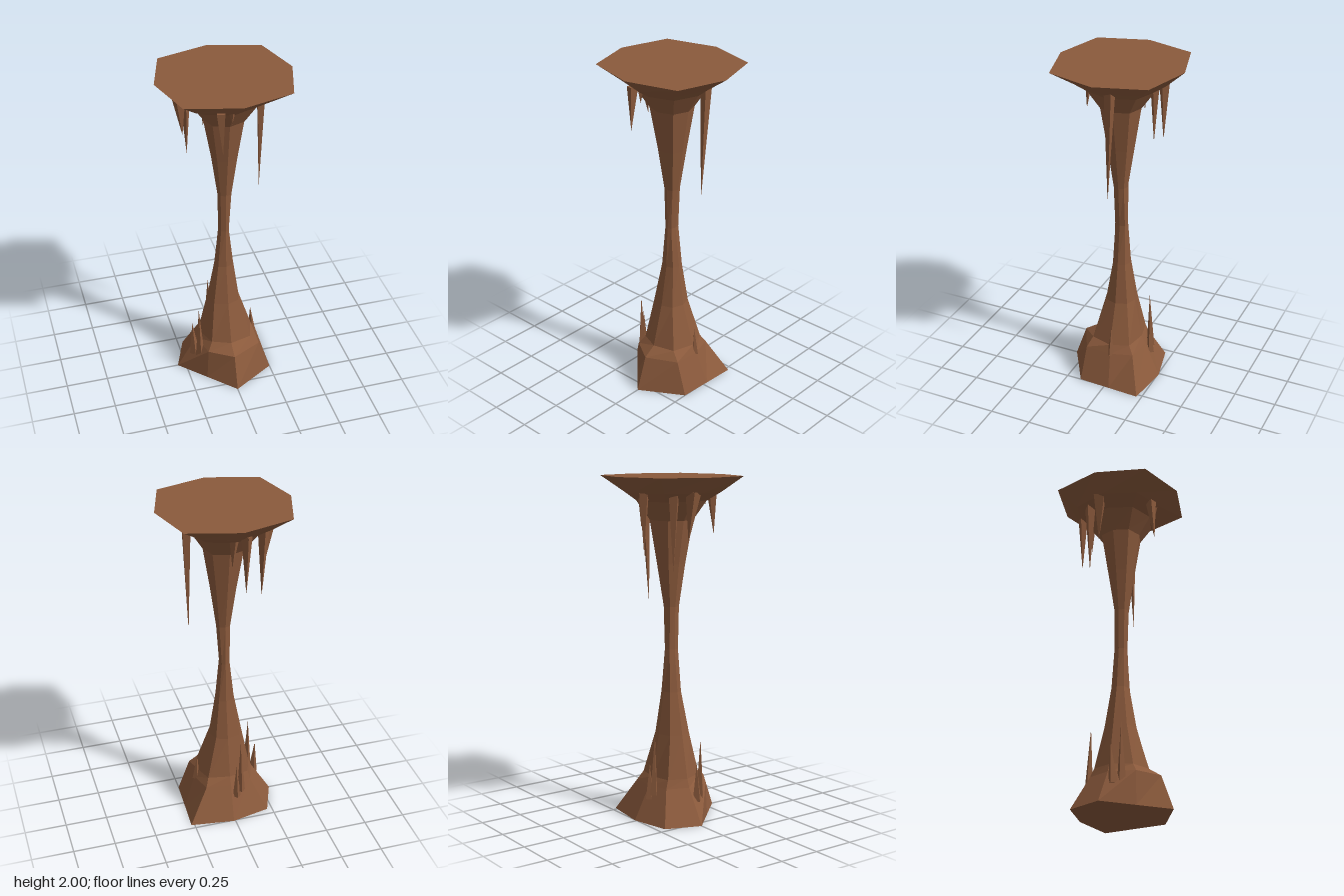
import * as THREE from 'three';

const SIDES = 8;

// Eight [x, z] corners from four radii; d scales the diagonal corners
function ring(y, xp, xn, zp, zn, d = 0.74) {
  return { y, pts: [
    [xp, 0], [xp * d, zp * d], [0, zp], [-xn * d, zp * d],
    [-xn, 0], [-xn * d, -zn * d], [0, -zn], [xp * d, -zn * d],
  ] };
}

// Skin a stack of rings and close both ends
function loft(rings) {
  const pos = [], index = [];
  rings.forEach(r => r.pts.forEach(([x, z]) => pos.push(x, r.y, z)));
  for (let i = 0; i < rings.length - 1; i++) {
    for (let k = 0; k < SIDES; k++) {
      const n = (k + 1) % SIDES;
      const a = i * SIDES + k, b = i * SIDES + n;
      const c = b + SIDES, d = a + SIDES;
      index.push(a, d, b, b, d, c);
    }
  }
  const last = (rings.length - 1) * SIDES;
  for (let k = 1; k < SIDES - 1; k++) {
    index.push(0, k, k + 1);
    index.push(last, last + k + 1, last + k);
  }
  const g = new THREE.BufferGeometry();
  g.setAttribute('position', new THREE.Float32BufferAttribute(pos, 3));
  g.setIndex(index);
  const flat = g.toNonIndexed();
  flat.computeVertexNormals();
  return flat;
}

export function createModel() {
  const model = new THREE.Group();
  const rock = new THREE.MeshStandardMaterial({ color: 0x8b5a3c, flatShading: true });
  rock.name = 'brown rock';

  // Column: wide foot with a ledge at the front, narrow waist, flared top
  const column = new THREE.Mesh(loft([
    { y: 0, pts: [[0.26, -0.03], [0.25, 0.16], [0, 0.31], [-0.15, 0.155],
      [-0.3, 0], [-0.22, -0.205], [0.01, -0.256], [0.27, -0.22]] },
    { y: 0.2, pts: [[0.19, -0.01], [0.18, 0.15], [0, 0.24], [-0.14, 0.15],
      [-0.18, 0], [-0.13, -0.13], [0, -0.16], [0.15, -0.14]] },
    { y: 0.25, pts: [[0.17, 0], [0.13, 0.13], [0, 0.165], [-0.11, 0.12],
      [-0.16, 0], [-0.12, -0.11], [0, -0.135], [0.13, -0.11]] },
    ring(0.5, 0.09, 0.11, 0.095, 0.09),
    ring(0.75, 0.055, 0.062, 0.05, 0.055),
    ring(1, 0.027, 0.035, 0.04, 0.042),
    ring(1.25, 0.045, 0.04, 0.045, 0.04),
    ring(1.5, 0.08, 0.075, 0.08, 0.08),
    ring(1.75, 0.12, 0.12, 0.12, 0.12),
    ring(1.86, 0.19, 0.2, 0.19, 0.2),
    ring(1.91, 0.255, 0.285, 0.265, 0.27),
    ring(2, 0.385, 0.385, 0.37, 0.37, 0.777),
  ]), rock);
  column.name = 'column';
  model.add(column);

  // Four-sided spike from a base point to a tip
  const up = new THREE.Vector3(0, 1, 0);
  function spike(name, from, to, radius) {
    const a = new THREE.Vector3(...from), dir = new THREE.Vector3(...to).sub(a);
    const h = dir.length();
    const mesh = new THREE.Mesh(new THREE.ConeGeometry(radius, h, 4).translate(0, h / 2, 0), rock);
    mesh.quaternion.setFromUnitVectors(up, dir.normalize());
    mesh.position.copy(a);
    mesh.name = name;
    model.add(mesh);
  }

  // Hanging spikes under the flared top
  [
    [[0.22, 1.92, -0.03], [0.21, 1.25, -0.01], 0.032],
    [[-0.25, 1.92, -0.03], [-0.225, 1.64, -0.045], 0.045],
    [[-0.19, 1.9, -0.12], [-0.185, 1.47, -0.12], 0.035],
    [[-0.08, 1.91, 0.23], [-0.075, 1.66, 0.25], 0.032],
    [[-0.06, 1.91, -0.23], [-0.06, 1.56, -0.23], 0.032],
    [[0, 1.9, -0.2], [0.01, 1.71, -0.2], 0.03],
    [[-0.02, 1.93, 0.23], [-0.02, 1.83, 0.23], 0.025],
  ].forEach(([a, b, r]) => spike('hangingSpike', a, b, r));

  // Rising spikes on the foot
  [
    [[0.18, 0.19, -0.01], [0.17, 0.36, -0.01], 0.022],
    [[-0.175, 0.12, 0.08], [-0.18, 0.48, 0.08], 0.028],
    [[-0.2, 0.12, 0.04], [-0.21, 0.345, 0.03], 0.03],
    [[-0.06, 0.16, -0.17], [-0.06, 0.515, -0.16], 0.025],
    [[-0.03, 0.13, -0.18], [-0.03, 0.35, -0.175], 0.025],
  ].forEach(([a, b, r]) => spike('risingSpike', a, b, r));

  return model;
}
